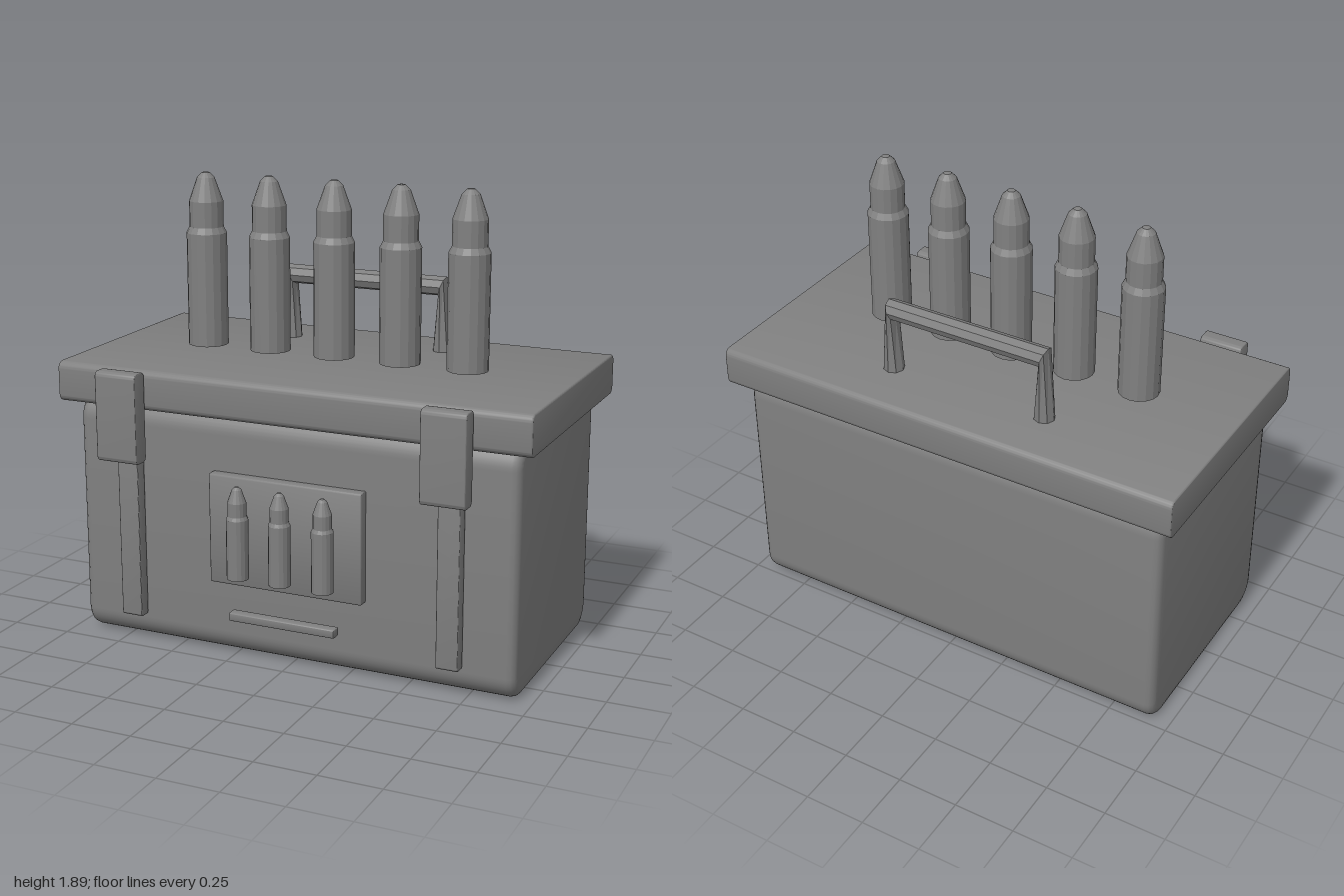
import * as THREE from 'three';
import { toCreasedNormals } from 'three/addons/utils/BufferGeometryUtils.js';

const metal = new THREE.MeshStandardMaterial({ color: 0x808080 });
metal.name = 'grey metal';
const facetedMetal = metal.clone();
facetedMetal.name = 'grey metal faceted';
facetedMetal.flatShading = true;

// Rounded side profile extruded along x, given by its extents
function roundedBlock(name, [x0, x1], [y0, y1], [z0, z1], radius, bevel) {
  const w = (z1 - z0) / 2, h = (y1 - y0) / 2, r = radius;
  const s = new THREE.Shape();
  s.absarc(w - r, h - r, r, 0, Math.PI / 2);
  s.absarc(-w + r, h - r, r, Math.PI / 2, Math.PI);
  s.absarc(-w + r, -h + r, r, Math.PI, Math.PI * 1.5);
  s.absarc(w - r, -h + r, r, Math.PI * 1.5, Math.PI * 2);
  const depth = x1 - x0 - 2 * bevel;
  const g = new THREE.ExtrudeGeometry(s, {
    depth, curveSegments: 5, bevelEnabled: true, bevelSize: bevel,
    bevelThickness: bevel, bevelOffset: -bevel, bevelSegments: 3,
  });
  g.translate(0, 0, -depth / 2);
  g.rotateY(Math.PI / 2);
  g.translate((x0 + x1) / 2, (y0 + y1) / 2, (z0 + z1) / 2);
  const mesh = new THREE.Mesh(toCreasedNormals(g, 0.6), metal);
  mesh.name = name;
  return mesh;
}

// Cartridge with case, shoulder and pointed tip, standing on its base
function cartridgeGeometry() {
  const profile = [
    [0, 0], [0.083, 0], [0.083, 0.465], [0.07, 0.49], [0.07, 0.595],
    [0.036, 0.69], [0.016, 0.71], [0, 0.712],
  ].map(([r, y]) => new THREE.Vector2(r, y));
  return new THREE.LatheGeometry(profile, 16);
}

// Eight-sided handle lofted through tilted rings, pinched at the corners
function handleGeometry() {
  const r = 0.043, sides = 8, tilt = 0.35;
  const sn = Math.sin(tilt), cs = Math.cos(tilt);
  const rings = [ // centre x, y and in-plane ring direction
    [-0.342, 1.15, -1, 0], [-0.34, 1.43, -sn, cs],
    [0.34, 1.43, sn, cs], [0.342, 1.15, 1, 0],
  ];
  const pos = [], idx = [];
  for (const [x, y, ux, uy] of rings) {
    for (let j = 0; j < sides; j++) {
      const a = (j / sides) * Math.PI * 2, c = r * Math.cos(a);
      pos.push(x + c * ux, y + c * uy, -0.33 + r * Math.sin(a));
    }
  }
  for (let i = 0; i < rings.length - 1; i++) {
    for (let j = 0; j < sides; j++) {
      const a = i * sides + j, b = i * sides + ((j + 1) % sides);
      idx.push(a, b, b + sides, a, b + sides, a + sides);
    }
  }
  const g = new THREE.BufferGeometry();
  g.setAttribute('position', new THREE.Float32BufferAttribute(pos, 3));
  g.setIndex(idx);
  g.computeVertexNormals();
  return g;
}

export function createModel() {
  const model = new THREE.Group();
  model.name = 'ammunitionBox';

  // Box and overhanging lid
  model.add(roundedBlock('body', [-0.94, 0.94], [0, 1.02], [-0.51, 0.43], 0.1, 0.035));
  model.add(roundedBlock('lid', [-1, 1], [0.995, 1.16], [-0.57, 0.485], 0.03, 0.006));

  // Latches and the straps under them
  for (const [side, s] of [['left', 1], ['right', -1]]) {
    const span = (a, b) => (s > 0 ? [a, b] : [-b, -a]);
    model.add(roundedBlock(side + 'Latch', span(0.598, 0.778), [0.793, 1.16], [0.492, 0.568], 0.02, 0.004));
    model.add(roundedBlock(side + 'Strap', span(0.642, 0.732), [0.12, 0.92], [0.435, 0.488], 0.012, 0.003));
  }

  // Front panel and the small bar below it
  model.add(roundedBlock('frontPanel', [-0.327, 0.327], [0.32, 0.772], [0.425, 0.475], 0.008, 0.004));
  model.add(roundedBlock('frontBar', [-0.228, 0.228], [0.18, 0.215], [0.465, 0.51], 0.006, 0.003));

  // Cartridges above the lid and small ones on the panel
  const cartridge = cartridgeGeometry();
  const addRow = (name, count, spacing, y, z, scale) => {
    for (let i = 0; i < count; i++) {
      const m = new THREE.Mesh(cartridge, facetedMetal);
      m.name = name + (i + 1);
      m.position.set((i - (count - 1) / 2) * spacing, y, z);
      m.scale.setScalar(scale);
      model.add(m);
    }
  };
  addRow('cartridge', 5, 0.286, 1.175, 0, 1);
  addRow('panelCartridge', 3, 0.183, 0.37, 0.515, 0.53);

  // Carrying handle
  const handle = new THREE.Mesh(handleGeometry(), facetedMetal);
  handle.name = 'handle';
  model.add(handle);

  return model;
}
